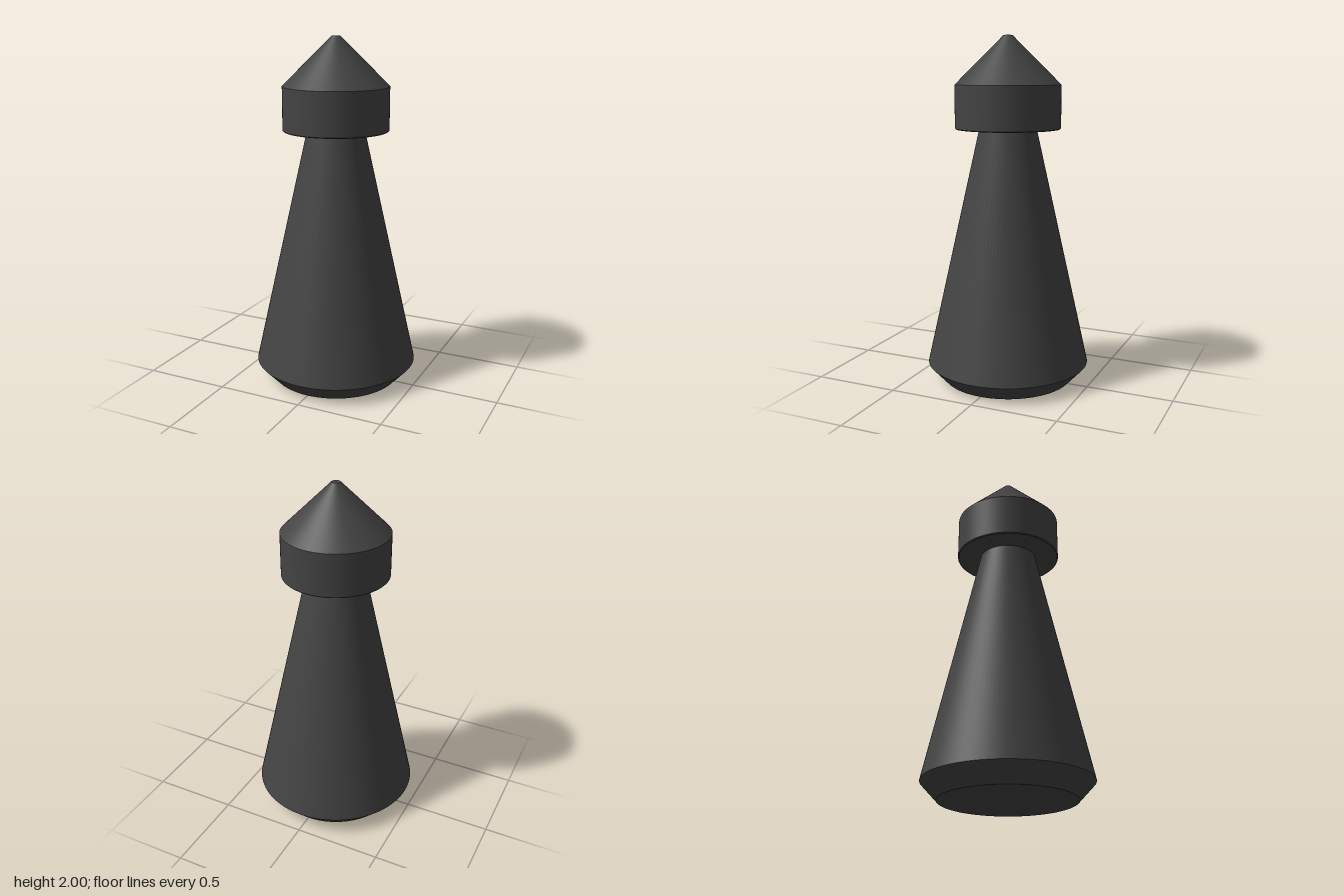
import * as THREE from 'three';

export function createModel() {
  const model = new THREE.Group();
  model.name = 'gamePiece';

  const charcoal = new THREE.MeshStandardMaterial({ color: 0x444444 });
  charcoal.name = 'charcoal';

  // Each [radius, y] profile is turned in straight sections, so its edges stay crisp.
  function turned(name, profile) {
    const part = new THREE.Group();
    part.name = name;
    for (let i = 0; i < profile.length - 1; i++) {
      const [r0, y0] = profile[i];
      const [r1, y1] = profile[i + 1];
      const section = new THREE.Mesh(
        y0 === y1
          ? new THREE.RingGeometry(Math.min(r0, r1), Math.max(r0, r1), 96)
          : new THREE.CylinderGeometry(r1, r0, y1 - y0, 96, 1, true),
        charcoal
      );
      // Flat rings face down where the profile widens, up where it closes.
      if (y0 === y1) section.rotation.x = r1 > r0 ? Math.PI / 2 : -Math.PI / 2;
      section.position.y = (y0 + y1) / 2;
      section.name = `${name}Section${i + 1}`;
      part.add(section);
    }
    model.add(part);
  }

  // Chamfered foot
  turned('foot', [[0, 0], [0.38, 0], [0.473, 0.1]]);
  // Tapered body
  turned('body', [[0.473, 0.1], [0.165, 1.475]]);
  // Collar with a flat underside
  turned('collar', [[0.165, 1.475], [0.298, 1.475], [0.303, 1.48], [0.303, 1.725]]);
  // Pointed cap with a small flat tip
  turned('cap', [[0.303, 1.725], [0.025, 2], [0, 2]]);

  return model;
}
